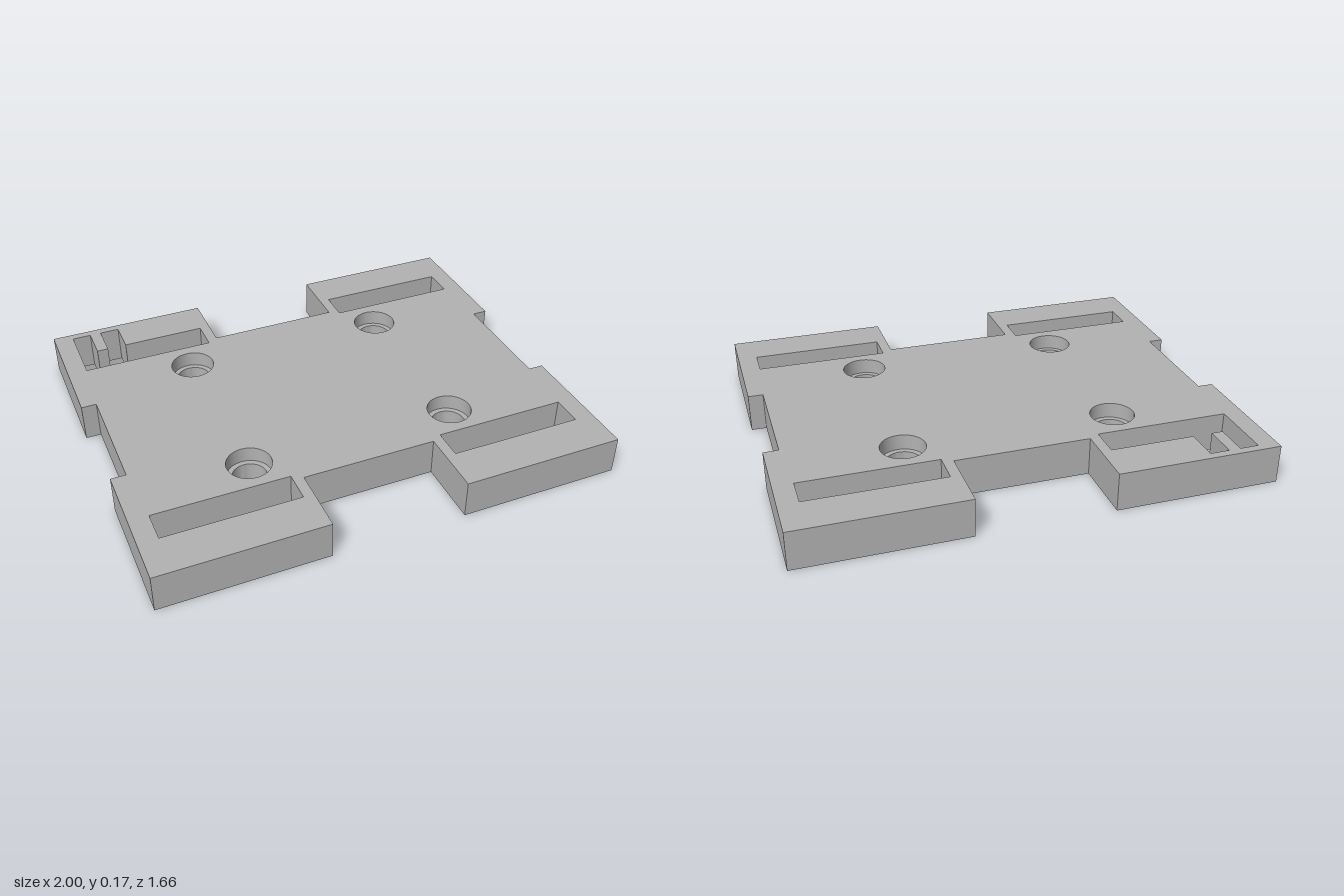
import * as THREE from 'three';
import { toCreasedNormals } from 'three/addons/utils/BufferGeometryUtils.js';

const H = 0.167;             // plate thickness
const LEDGE = 0.1;           // height of the step inside the screw holes
const R_TOP = 0.095, R_BOTTOM = 0.073;
const HOLES = [[-0.46, 0.375], [0.455, 0.375], [-0.46, -0.375], [0.455, -0.375]];

const path = (pts, Type = THREE.Path) => new Type(pts.map(([x, y]) => new THREE.Vector2(x, y)));
const rect = (x0, x1, y0, y1) => path([[x0, y0], [x0, y1], [x1, y1], [x1, y0]]);

// Plate plan, drawn with shape y pointing to the back
function planShape(holeRadius) {
  const quarter = [[0.29, 0.832], [0.29, 0.543]];
  const side = [[1, 0.252], [0.935, 0.252]];
  const flip = (pts, sx, sy) => pts.map(([x, y]) => [x * sx, y * sy]);
  const shape = path([
    [1, 0.832], ...quarter,
    ...flip(quarter, -1, 1).reverse(), [-1, 0.832],
    ...flip(side, -1, 1), ...flip(side, -1, -1).reverse(),
    [-1, -0.832], ...flip(quarter, -1, -1),
    ...flip(quarter, 1, -1).reverse(), [1, -0.832],
    ...flip(side, 1, -1), ...side.slice().reverse(),
  ], THREE.Shape);

  // Three plain strap slots and one with two extra pockets around a tooth
  shape.holes.push(
    rect(0.335, 0.915, 0.518, 0.652),
    rect(0.335, 0.915, -0.648, -0.516),
    rect(-0.915, -0.335, -0.648, -0.516),
    path([
      [-0.915, 0.518], [-0.915, 0.797], [-0.834, 0.797], [-0.834, 0.652],
      [-0.784, 0.652], [-0.784, 0.797], [-0.7, 0.797], [-0.7, 0.652],
      [-0.335, 0.652], [-0.335, 0.518],
    ]),
  );
  if (holeRadius) {
    for (const [x, y] of HOLES) shape.holes.push(new THREE.Path().absarc(x, y, holeRadius, 0, Math.PI * 2, true));
  }
  return shape;
}

// Flat face of the plate at a given height
function faceGeometry(radius, y, down) {
  const geo = new THREE.ShapeGeometry(planShape(radius), 24);
  if (down) {
    geo.setIndex(Array.from(geo.index.array).reverse());
    geo.computeVertexNormals();
  }
  return geo.rotateX(-Math.PI / 2).translate(0, y, 0);
}

// Only the upright walls of the outline and the slots
function wallGeometry() {
  const geo = new THREE.ExtrudeGeometry(planShape(0), { depth: H, bevelEnabled: false });
  const { start, count } = geo.groups[1];
  const walls = new THREE.BufferGeometry();
  const positions = geo.attributes.position.array.slice(start * 3, (start + count) * 3);
  walls.setAttribute('position', new THREE.BufferAttribute(positions, 3));
  walls.computeVertexNormals();
  return walls.rotateX(-Math.PI / 2);
}

export function createModel() {
  const model = new THREE.Group();
  model.name = 'mountingPlate';
  const grey = new THREE.MeshStandardMaterial({ color: 0xb2b2b2 });
  grey.name = 'plate grey';
  const add = (name, geo) => {
    const mesh = new THREE.Mesh(geo, grey);
    mesh.name = name;
    model.add(mesh);
    return mesh;
  };

  add('plateTop', faceGeometry(R_TOP, H, false));
  add('plateBottom', faceGeometry(R_BOTTOM, 0, true));
  add('plateWalls', wallGeometry());

  // Stepped linings of the four screw holes, facing inwards
  const profile = [[R_TOP, H], [R_TOP, LEDGE], [R_BOTTOM, LEDGE], [R_BOTTOM, 0]]
    .map(([r, y]) => new THREE.Vector2(r, y));
  const lining = toCreasedNormals(new THREE.LatheGeometry(profile, 48), 0.6);
  for (const [x, y] of HOLES) add('screwHole', lining).position.set(x, 0, -y);

  return model;
}
